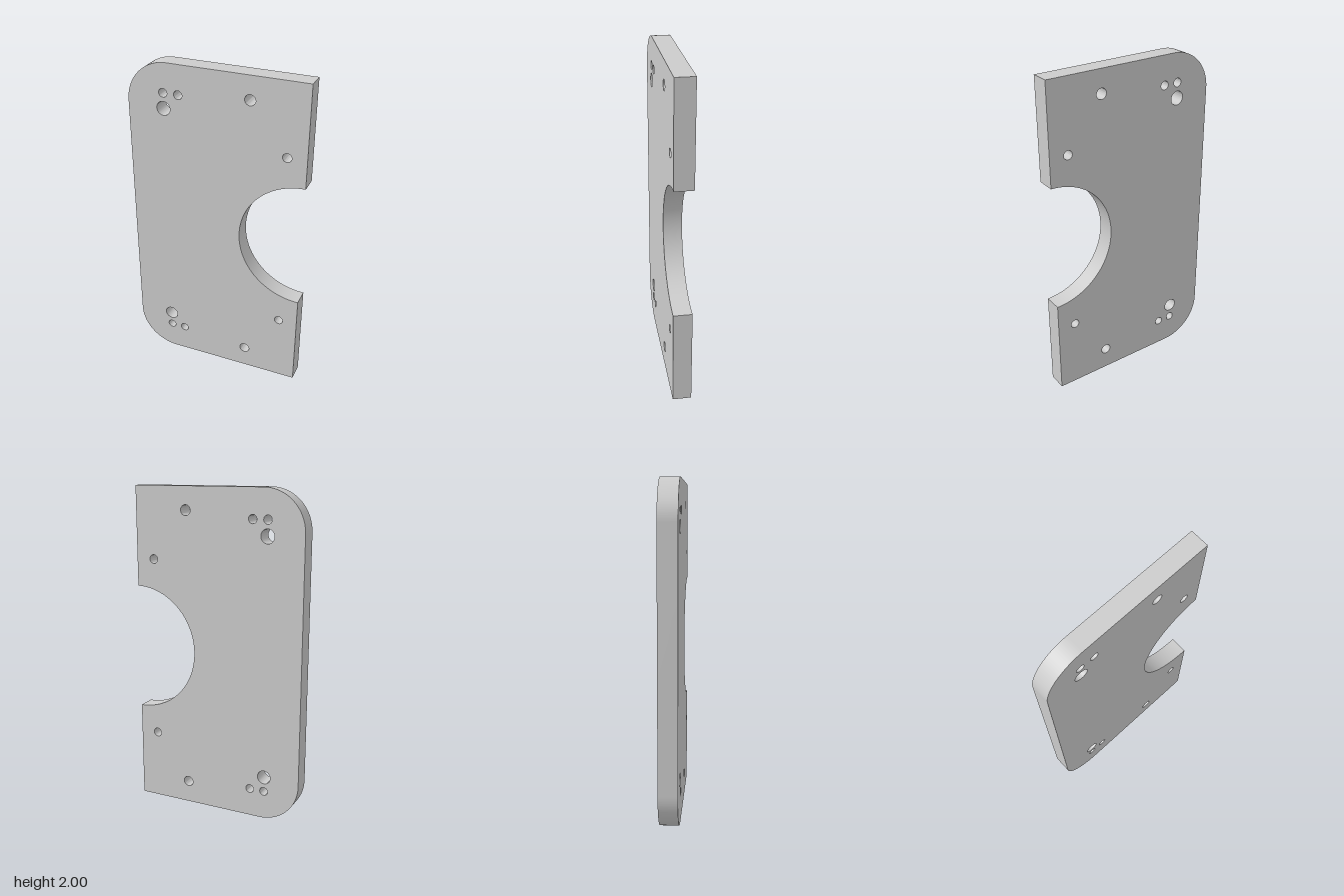
import * as THREE from 'three';
import { toCreasedNormals } from 'three/addons/utils/BufferGeometryUtils.js';

const HALF_W = 0.543, HEIGHT = 2, THICK = 0.113;
const CORNER = 0.25, NOTCH = 0.39;

// Holes of the upper half: x, height above the middle, radius
const HOLES = [
  [-0.32, 0.823, 0.026],
  [-0.227, 0.823, 0.026],
  [-0.32, 0.73, 0.042],
  [0.204, 0.86, 0.032],
  [0.427, 0.561, 0.027],
];

export function createModel() {
  const group = new THREE.Group();
  group.name = 'mountingPlate';

  // Outline: square right edge with a half-round notch, rounded left corners
  const outline = new THREE.Shape();
  outline.moveTo(HALF_W, 0);
  outline.lineTo(HALF_W, HEIGHT / 2 - NOTCH);
  outline.absarc(HALF_W, HEIGHT / 2, NOTCH, -Math.PI / 2, -Math.PI * 1.5, true);
  outline.lineTo(HALF_W, HEIGHT);
  outline.lineTo(-HALF_W + CORNER, HEIGHT);
  outline.absarc(-HALF_W + CORNER, HEIGHT - CORNER, CORNER, Math.PI / 2, Math.PI, false);
  outline.lineTo(-HALF_W, CORNER);
  outline.absarc(-HALF_W + CORNER, CORNER, CORNER, Math.PI, Math.PI * 1.5, false);
  outline.closePath();

  // Bolt and dowel holes, mirrored about mid height
  for (const side of [1, -1]) {
    for (const [x, dy, r] of HOLES) {
      const hole = new THREE.Path();
      hole.absarc(x, HEIGHT / 2 + side * dy, r, 0, Math.PI * 2, true);
      outline.holes.push(hole);
    }
  }

  const geometry = new THREE.ExtrudeGeometry(outline, {
    depth: THICK, bevelEnabled: false, curveSegments: 32,
  });
  geometry.translate(0, 0, -THICK / 2);

  const plate = new THREE.Mesh(
    toCreasedNormals(geometry, Math.PI / 6),
    new THREE.MeshStandardMaterial({ color: 0xcccccc })
  );
  plate.name = 'plate';
  group.add(plate);
  return group;
}
